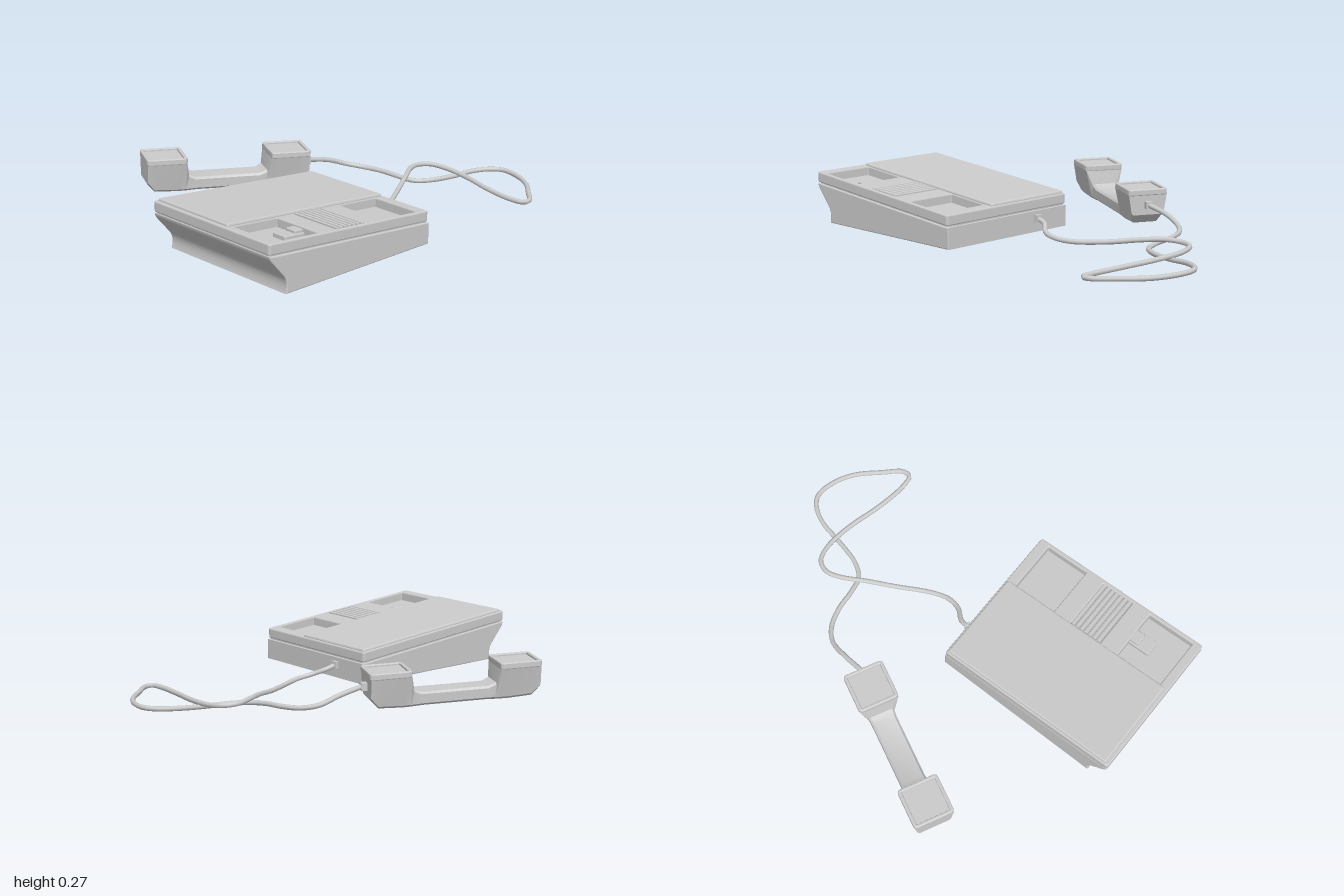
import * as THREE from 'three';
import { toCreasedNormals } from 'three/addons/utils/BufferGeometryUtils.js';

const material = new THREE.MeshStandardMaterial({ color: 0xcccccc, side: THREE.DoubleSide });

function add(parent, name, geometry) {
  const mesh = new THREE.Mesh(geometry, material);
  mesh.name = name;
  parent.add(mesh);
  return mesh;
}

// Rounded rectangle from corner coordinates
function rect(path, x0, x1, y0, y1, r) {
  path.moveTo(x0 + r, y0);
  path.lineTo(x1 - r, y0);
  path.quadraticCurveTo(x1, y0, x1, y0 + r);
  path.lineTo(x1, y1 - r);
  path.quadraticCurveTo(x1, y1, x1 - r, y1);
  path.lineTo(x0 + r, y1);
  path.quadraticCurveTo(x0, y1, x0, y1 - r);
  path.lineTo(x0, y0 + r);
  path.quadraticCurveTo(x0, y0, x0 + r, y0);
  return path;
}

// Horizontal bevelled plate with optional holes [x0, x1, z0, z1]
function plate([x0, x1, z0, z1], y0, y1, { bevel = 0.006, radius = 0.01, holes = [] } = {}) {
  const shape = rect(new THREE.Shape(), x0, x1, -z1, -z0, radius);
  for (const [a, b, c, d] of holes) shape.holes.push(rect(new THREE.Path(), a, b, -d, -c, 0.004));
  const geometry = new THREE.ExtrudeGeometry(shape, {
    depth: y1 - y0 - 2 * bevel, bevelEnabled: true, bevelSize: bevel, bevelThickness: bevel,
    bevelOffset: -bevel, bevelSegments: 2, curveSegments: 4,
  });
  return geometry.translate(0, 0, bevel).rotateX(-Math.PI / 2).translate(0, y0, 0);
}

// Tilt a part so that it falls from the high end to the low end
function slope(geometry) {
  const p = geometry.attributes.position;
  for (let i = 0; i < p.count; i++) p.setY(i, p.getY(i) - 0.089 * (p.getX(i) + 1));
  geometry.computeVertexNormals();
  return geometry;
}

function createBase() {
  const base = new THREE.Group();
  base.name = 'telephoneBase';

  // Lower housing with a concave grip under its high end
  const profile = new THREE.Shape();
  profile.moveTo(-0.91, 0.02);
  profile.lineTo(-0.055, 0.02);
  profile.lineTo(-0.055, 0.12);
  profile.lineTo(-0.998, 0.204);
  profile.quadraticCurveTo(-0.997, 0.19, -0.985, 0.175);
  profile.lineTo(-0.925, 0.105);
  profile.quadraticCurveTo(-0.895, 0.075, -0.91, 0.02);
  add(base, 'lowerHousing', new THREE.ExtrudeGeometry(profile, {
    depth: 0.738, bevelEnabled: true, bevelSize: 0.005, bevelThickness: 0.005,
    bevelOffset: -0.005, bevelSegments: 2, curveSegments: 8,
  }).translate(0, 0, 0.01));

  // Recessed joint between the housings, also the floor of the wells
  add(base, 'seamCore', slope(plate([-0.992, -0.066, 0.012, 0.743], 0.19, 0.217)));

  // Upper housing with two handset wells and a speaker slot
  const z0 = 0.478, z1 = 0.732;
  add(base, 'upperHousing', slope(plate([-1, -0.06, 0.003, 0.753], 0.21, 0.26, {
    bevel: 0.006, radius: 0.015,
    holes: [[-0.953, -0.71, z0, z1], [-0.61, -0.44, z0, z1], [-0.34, -0.115, z0, z1]],
  })));
  add(base, 'topCover', slope(plate([-0.982, -0.068, 0.012, 0.474], 0.25, 0.272, { bevel: 0.008 })));

  // Speaker ribs
  for (let i = 0; i < 7; i++) {
    const x = -0.598 + i * 0.0245;
    add(base, 'speakerRib', slope(plate([x - 0.008, x + 0.008, z0, z1 + 0.002], 0.21, 0.264,
      { bevel: 0.002, radius: 0.002 })));
  }

  // Hook switch in the earpiece well
  add(base, 'hookSwitch', slope(plate([-0.82, -0.705, 0.57, 0.65], 0.21, 0.237, { bevel: 0.004 })));
  add(base, 'hookSwitchStep', slope(plate([-0.755, -0.705, 0.58, 0.64], 0.23, 0.25, { bevel: 0.004 })));

  add(base, 'cordSocket', new THREE.BoxGeometry(0.03, 0.035, 0.035)).position.set(-0.05, 0.085, 0.2);
  return base;
}

// Handset body lofted from chamfered cross-sections along its length
function handsetGeometry() {
  // [u, bottom, top, bottom width, top width]
  const half = [
    [0.402, 0.05, 0.165, 0.165, 0.196],
    [0.365, 0.006, 0.165, 0.135, 0.196],
    [0.25, 0, 0.165, 0.13, 0.196],
    [0.212, 0, 0.165, 0.125, 0.196],
    [0.195, 0, 0.08, 0.122, 0.13],
    [0.16, 0.002, 0.065, 0.12, 0.122],
  ];
  const sections = [...half.map(([u, ...s]) => [-u, ...s]), ...half.slice().reverse()];
  const c = 0.01, n = 8, points = [], index = [];
  for (const [u, b, t, wb, wt] of sections) {
    const p = wb / 2, q = wt / 2;
    const ring = [[b, -p + c], [b + c, -p], [t - c, -q], [t, -q + c],
      [t, q - c], [t - c, q], [b + c, p], [b, p - c]];
    for (const [y, z] of ring) points.push(u, y, z);
  }
  for (let s = 0; s < sections.length - 1; s++) {
    for (let k = 0; k < n; k++) {
      const a = s * n + k, b = s * n + (k + 1) % n;
      index.push(a, b, a + n, b, b + n, a + n);
    }
  }
  const last = (sections.length - 1) * n;
  for (let k = 1; k < n - 1; k++) {
    index.push(0, k + 1, k, last, last + k, last + k + 1);
  }
  const geometry = new THREE.BufferGeometry();
  geometry.setAttribute('position', new THREE.Float32BufferAttribute(points, 3));
  // Winding is flipped so that the faces look outwards
  for (let i = 0; i < index.length; i += 3) [index[i + 1], index[i + 2]] = [index[i + 2], index[i + 1]];
  geometry.setIndex(index);
  return toCreasedNormals(geometry, 0.5);
}

function createHandset() {
  const handset = new THREE.Group();
  handset.name = 'handset';
  add(handset, 'handsetBody', handsetGeometry());
  for (const u of [-0.307, 0.307]) {
    // Raised rim around each cap
    add(handset, u < 0 ? 'earpieceRim' : 'mouthpieceRim', plate([u - 0.1, u + 0.1, -0.1, 0.1], 0.145, 0.176, {
      bevel: 0.005, radius: 0.02, holes: [[u - 0.083, u + 0.083, -0.083, 0.083]],
    }));
  }
  add(handset, 'handsetCordSocket', new THREE.BoxGeometry(0.04, 0.035, 0.035)).position.set(0.41, 0.1, 0);
  handset.position.set(-0.175, 0.023, -0.49);
  handset.rotation.set(0, -0.464, -0.03);
  return handset;
}

export function createModel() {
  const model = new THREE.Group();
  model.name = 'telephone';
  model.add(createBase(), createHandset());

  // Cord looping from the base to the handset
  const path = [
    [-0.06, 0.088, 0.2], [0, 0.07, 0.205], [0.06, 0.042, 0.255], [0.13, 0.03, 0.27], [0.22, 0.022, 0.245],
    [0.37, 0.03, 0.16], [0.5, 0.048, 0.085], [0.6, 0.055, 0.025], [0.68, 0.05, 0.003], [0.74, 0.045, 0.03],
    [0.765, 0.037, 0.11], [0.755, 0.028, 0.25], [0.71, 0.016, 0.45], [0.69, 0.012, 0.6], [0.7, 0.012, 0.67],
    [0.74, 0.012, 0.67], [0.82, 0.012, 0.6], [0.92, 0.014, 0.5], [0.972, 0.018, 0.4], [0.985, 0.022, 0.3],
    [0.95, 0.022, 0.245], [0.87, 0.02, 0.2], [0.75, 0.014, 0.175], [0.62, 0.014, 0.14], [0.55, 0.016, 0.09],
    [0.525, 0.025, 0], [0.515, 0.03, -0.1], [0.48, 0.036, -0.2], [0.42, 0.052, -0.26], [0.33, 0.085, -0.285],
    [0.2, 0.112, -0.3],
  ].map((p) => new THREE.Vector3(...p));
  add(model, 'cord', new THREE.TubeGeometry(new THREE.CatmullRomCurve3(path), 140, 0.012, 8));
  return model;
}
